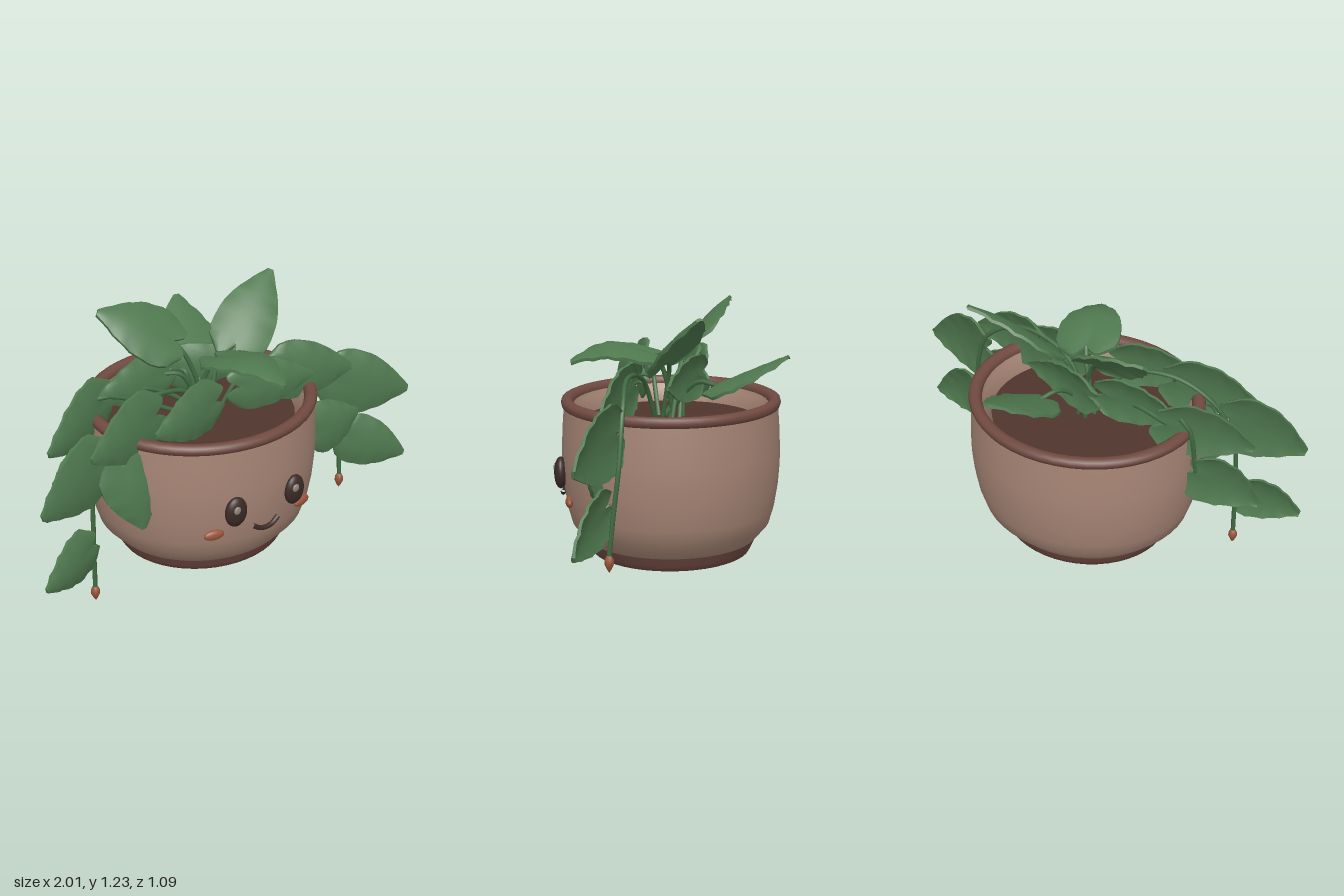
import * as THREE from 'three';

const mat = (name, color) => {
  const m = new THREE.MeshStandardMaterial({ color });
  m.name = name;
  return m;
};
const clay = mat('clay', 0xa58474);
const trim = mat('trim clay', 0x704a41);
const soilMat = mat('soil', 0x4f352d);
const leafGreen = mat('leaf green', 0x4f784e);
const stemGreen = mat('stem green', 0x416a42);
const dark = mat('dark brown', 0x3b2a25);
const shine = mat('eye shine', 0x93857d);
const blush = mat('blush', 0x98563c);

const V = (a) => new THREE.Vector3(...a);

function add(parent, name, geometry, material) {
  const m = new THREE.Mesh(geometry, material);
  m.name = name;
  parent.add(m);
  return m;
}
const lathe = (pts, n = 48) => new THREE.LatheGeometry(pts.map((p) => new THREE.Vector2(...p)), n);
const tube = (pts, r, n = 24) =>
  new THREE.TubeGeometry(new THREE.CatmullRomCurve3(pts.map(V)), n, r, 7);

// Half-width of the heart outline at even steps from stalk to tip
const OUTLINE = [0.58, 0.88, 0.99, 1, 0.98, 0.94, 0.87, 0.78, 0.67, 0.54, 0.4, 0.25, 0.1];

// Heart leaf: a thin box bent into lobes, a centre fold and a wavy rim
function leaf(parent, base, tip, halfWidth, normal, arch = 0.02) {
  const from = V(base), along = V(tip).sub(from), len = along.length();
  const rows = OUTLINE.length - 1;
  const g = new THREE.BoxGeometry(2, 1, 1, 10, rows, 1);
  const p = g.attributes.position;
  for (let i = 0; i < p.count; i++) {
    const s = p.getX(i), t = p.getY(i) + 0.5, a = Math.abs(s);
    const w = OUTLINE[Math.round(t * rows)];
    const lobe = 0.17 * Math.sin(Math.PI * Math.min(1, a * 0.8)) * Math.max(0, 1 - t * 2.5);
    const wave = 0.005 * a * a * Math.sin(t * 26 + s * 2);
    const bend = arch * Math.sin(Math.PI * t) - 0.025 * a * a * w + wave;
    p.setXYZ(i, s * halfWidth * w, (t - lobe) * len, bend + p.getZ(i) * 0.014);
  }
  g.computeVertexNormals();
  const y = along.normalize();
  const x = y.clone().cross(V(normal)).normalize();
  const z = x.clone().cross(y);
  g.applyMatrix4(new THREE.Matrix4().makeBasis(x, y, z).setPosition(from));
  add(parent, 'leaf', g, leafGreen);
}

function buildPot() {
  const pot = new THREE.Group();
  pot.name = 'pot';
  pot.scale.z = 0.92;
  pot.position.z = 0.005;
  add(pot, 'potBody', lathe([[0.44, 0.13], [0.505, 0.2], [0.53, 0.28], [0.547, 0.38], [0.555, 0.48],
    [0.555, 0.56], [0.55, 0.66], [0.542, 0.76]]), clay);
  add(pot, 'potInside', lathe([[0.5, 0.775], [0.485, 0.74], [0.44, 0.66], [0.42, 0.3], [0.36, 0.14],
    [0.12, 0.12]]), clay);
  add(pot, 'potBase', lathe([[0.12, 0.12], [0.122, 0.085], [0.145, 0.068], [0.2, 0.056], [0.34, 0.048],
    [0.405, 0.063], [0.42, 0.09], [0.44, 0.13]]), trim);
  add(pot, 'potRim', lathe([[0.535, 0.745], [0.55, 0.752], [0.557, 0.77], [0.552, 0.788], [0.535, 0.796],
    [0.515, 0.795], [0.5, 0.785], [0.493, 0.765], [0.5, 0.75]]), trim);
  add(pot, 'soil', lathe([[0.455, 0.68], [0.25, 0.69], [0, 0.695]]), soilMat);
  return pot;
}

function buildFace() {
  const face = new THREE.Group();
  face.name = 'face';
  const ball = new THREE.SphereGeometry(1, 24, 16);
  for (const side of [-1, 1]) {
    const eye = add(face, 'eye', ball, dark);
    eye.scale.set(0.055, 0.075, 0.031);
    eye.position.set(side * 0.165, 0.455, 0.505);
    eye.rotation.y = side * 0.1;
    const glint = add(face, 'eyeShine', ball, shine);
    glint.scale.set(0.018, 0.02, 0.008);
    glint.position.set(side * 0.165 - 0.012, 0.478, 0.532);
    const cheek = add(face, 'cheek', ball, blush);
    cheek.scale.set(0.05, 0.025, 0.017);
    cheek.position.set(side * 0.25, 0.337, 0.456);
    cheek.rotation.y = side * 0.2;
  }
  add(face, 'mouth', tube([[-0.072, 0.348, 0.508], [-0.035, 0.326, 0.514], [0, 0.321, 0.516],
    [0.035, 0.326, 0.514], [0.072, 0.348, 0.508]], 0.012), dark);
  return face;
}

// Hanging vine ending in a bud
function buildVine(name, pts, leaves) {
  const vine = new THREE.Group();
  vine.name = name;
  const path = new THREE.CatmullRomCurve3(pts.map(V));
  add(vine, 'vineStem', new THREE.TubeGeometry(path, 50, 0.011, 7), stemGreen);
  const bud = add(vine, 'bud', lathe([[0, -0.075], [0.01, -0.06], [0.021, -0.035], [0.02, -0.015],
    [0.011, 0.002], [0, 0.006]], 10), blush);
  bud.position.copy(V(pts[pts.length - 1]));
  const samples = path.getSpacedPoints(60);
  for (const [base, tip, w, n] of leaves) {
    leaf(vine, base, tip, w, n);
    // Stalk from the nearest point of the vine
    const b = V(base);
    const near = samples.reduce((m, q) => (q.distanceTo(b) < m.distanceTo(b) ? q : m));
    const mid = near.clone().lerp(b, 0.5);
    mid.y += 0.015;
    add(vine, 'leafStalk', tube([near.toArray(), mid.toArray(), base], 0.007, 8), stemGreen);
  }
  return vine;
}

export function createModel() {
  const model = new THREE.Group();
  model.name = 'pottedPlant';
  model.add(buildPot(), buildFace());

  // Upright and inner leaves on their own stems: base, tip, half-width, facing, arch, stem bend
  const crown = new THREE.Group();
  crown.name = 'crown';
  const uprights = [
    [[-0.09, 1.04, -0.09], [-0.39, 1.205, -0.25], 0.15, [0.15, 0.6, 0.75]],
    [[0.19, 0.985, 0.01], [0.515, 1.22, -0.15], 0.145, [-0.6, 0.35, 0.7]],
    [[0.13, 0.865, -0.22], [0.235, 1.02, -0.535], 0.15, [0, 1, 0.4], 0.0],
    [[0.04, 0.985, 0.09], [0.135, 0.97, 0.455], 0.15, [0.15, 1, 0.1], 0.06],
    [[-0.07, 0.88, -0.12], [0.29, 0.88, 0.0], 0.11, [-0.3, 0.1, 0.9]],
    [[-0.14, 0.89, -0.09], [-0.5, 0.86, -0.1], 0.12, [0, 0.1, 0.95]],
    [[-0.45, 0.84, -0.12], [-0.82, 0.73, 0.01], 0.14, [0.3, 0.05, 0.9]],
    [[-0.58, 0.57, -0.07], [-0.86, 0.41, 0.02], 0.135, [0.3, 0.05, 0.9], 0.02, [-0.52, 0.86, -0.1]],
  ];
  uprights.forEach(([base, tip, w, n, arch, bend], i) => {
    leaf(crown, base, tip, w, n, arch);
    const a = i * 1.1;
    const root = [0.05 * Math.cos(a), 0.67, 0.05 * Math.sin(a)];
    const mid = bend ?? [base[0] * 0.55, base[1] * 0.6 + 0.35, base[2] * 0.55];
    add(crown, 'leafStem', tube([root, mid, base], 0.011, 14), stemGreen);
  });
  model.add(crown);

  // Vines: stem path, then leaves along it
  model.add(buildVine('leftVine', [[-0.02, 0.66, 0.06], [-0.15, 0.88, 0.1], [-0.38, 0.92, 0.12],
    [-0.58, 0.82, 0.13], [-0.68, 0.62, 0.15], [-0.7, 0.35, 0.16], [-0.705, 0.075, 0.165]], [
    [[-0.64, 0.73, 0.17], [-1.0, 0.595, 0.25], 0.165, [0.2, 0.05, 0.9]],
    [[-0.37, 0.86, 0.17], [-0.745, 0.79, 0.25], 0.15, [0.2, 0.08, 0.9]],
    [[-0.73, 0.31, 0.18], [-1.0, 0.22, 0.25], 0.12, [0.25, 0.05, 0.9]],
    [[-0.57, 0.69, 0.22], [-0.5, 0.37, 0.27], 0.13, [-0.15, 0.1, 0.95]],
    [[-0.08, 0.86, 0.22], [-0.44, 0.83, 0.29], 0.125, [0.2, 0.1, 0.9]],
  ]));
  model.add(buildVine('rightVine', [[0.02, 0.66, 0.07], [0.16, 0.89, 0.12], [0.42, 0.94, 0.17],
    [0.6, 0.84, 0.17], [0.67, 0.62, 0.18], [0.683, 0.4, 0.205], [0.683, 0.215, 0.225]], [
    [[0.63, 0.74, 0.2], [0.995, 0.65, 0.335], 0.165, [-0.35, 0.05, 0.9]],
    [[0.7, 0.43, 0.24], [0.995, 0.29, 0.34], 0.13, [-0.3, 0.05, 0.9]],
    [[0.46, 0.55, 0.28], [0.7, 0.61, 0.31], 0.14, [-0.1, 0.05, 0.9]],
    [[0.32, 0.87, 0.17], [0.69, 0.83, 0.26], 0.145, [-0.25, 0.08, 0.9]],
    [[0.1, 0.86, 0.17], [0.47, 0.85, 0.24], 0.125, [-0.2, 0.1, 0.9]],
  ]));
  return model;
}
